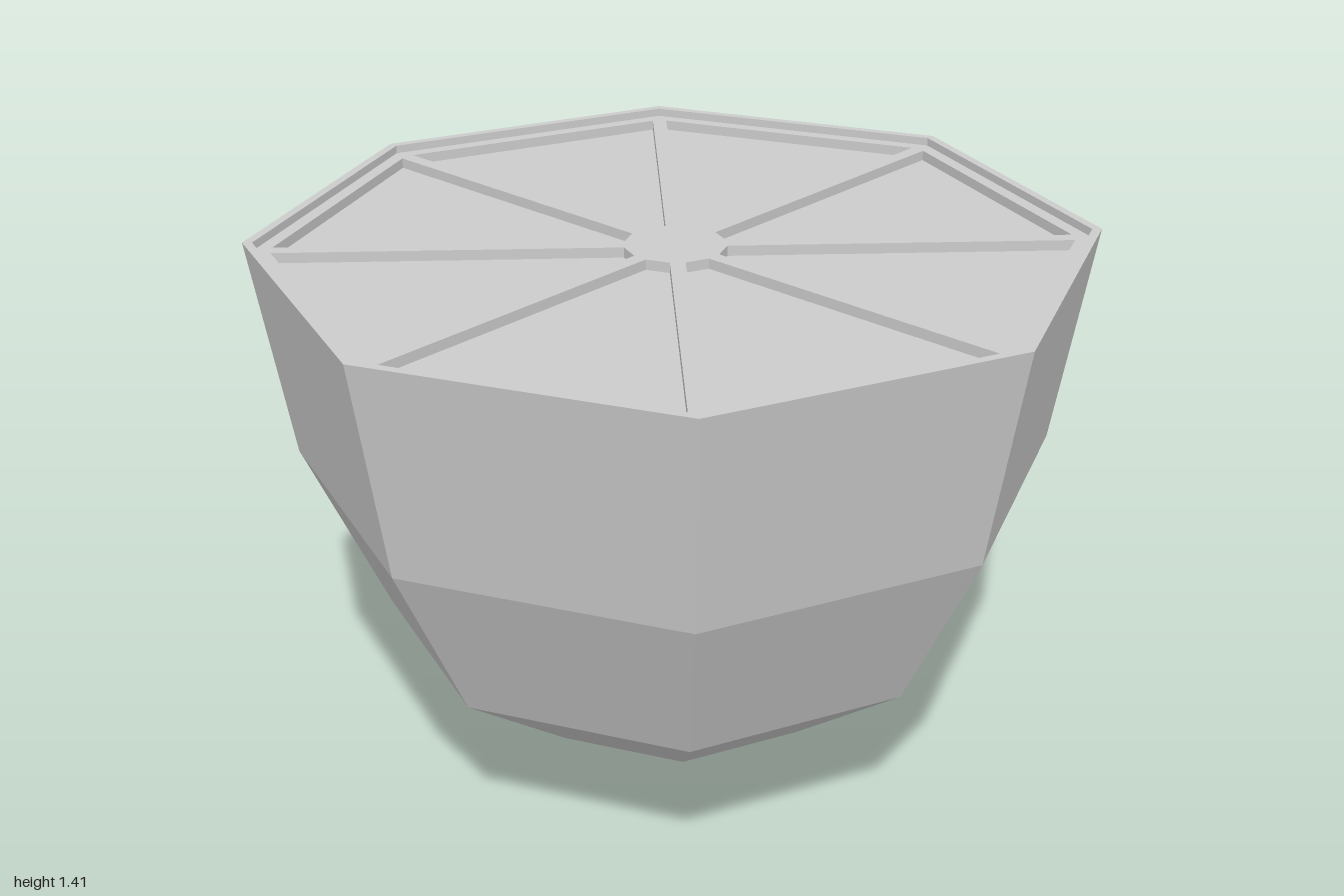
import * as THREE from 'three';

const SIDES = 8;
const STEP = (Math.PI * 2) / SIDES;
const TOP = 1.41; // rim height
const PITH = 1.39; // top of the pith web
const PULP = 1.365; // sunken pulp floor
const RIM_R = 0.977; // inner radius of the rim

const material = new THREE.MeshStandardMaterial({ color: 0xcccccc, flatShading: true });

function addMesh(parent, name, geometry) {
  const faceted = geometry.index ? geometry.toNonIndexed() : geometry;
  faceted.computeVertexNormals();
  const mesh = new THREE.Mesh(faceted, material);
  mesh.name = name;
  parent.add(mesh);
  return mesh;
}

// Outline of one fruit segment: a truncated wedge between two spokes
function wedgePoints(index) {
  const half = STEP / 2;
  const mid = (index + 0.5) * STEP;
  const spokeHalfWidth = 0.018;
  const inner = 0.118, outer = 0.87;
  const lateral = (u) => u * Math.tan(half) - spokeHalfWidth / Math.cos(half);
  return [
    [inner, -lateral(inner)],
    [outer, -lateral(outer)],
    [outer, lateral(outer)],
    [inner, lateral(inner)],
  ].map(([u, v]) => new THREE.Vector2(u, v).rotateAround(new THREE.Vector2(), mid));
}

export function createModel() {
  const fruit = new THREE.Group();
  fruit.name = 'halfCitrusFruit';

  // Peel: eight-sided bowl with a nub at the bottom and a thin rim on top
  const profile = [
    [0, 0], [0.095, 0.025], [0.105, 0.05], [0.2, 0.12], [0.4, 0.215],
    [0.71, 0.45], [0.91, 0.875], [1, TOP], [RIM_R, TOP], [RIM_R, PITH],
  ].map(([r, y]) => new THREE.Vector2(r, y));
  addMesh(fruit, 'peel', new THREE.LatheGeometry(profile, SIDES));

  // Pith: ring, spokes and hub, cut through by the segment openings
  const corners = [];
  for (let i = 0; i < SIDES; i++) {
    corners.push(new THREE.Vector2(RIM_R * Math.cos(i * STEP), RIM_R * Math.sin(i * STEP)));
  }
  const web = new THREE.Shape(corners);
  for (let i = 0; i < SIDES; i++) web.holes.push(new THREE.Path(wedgePoints(i).reverse()));
  const pith = new THREE.ExtrudeGeometry(web, { depth: PITH - PULP, bevelEnabled: false });
  pith.rotateX(-Math.PI / 2).translate(0, PULP, 0);
  addMesh(fruit, 'pith', pith);

  // Pulp: flat floor of each sunken segment
  const pulp = new THREE.Group();
  pulp.name = 'pulp';
  for (let i = 0; i < SIDES; i++) {
    const floor = new THREE.ShapeGeometry(new THREE.Shape(wedgePoints(i)));
    floor.rotateX(-Math.PI / 2).translate(0, PULP, 0);
    addMesh(pulp, `pulpSegment${i + 1}`, floor);
  }
  fruit.add(pulp);

  return fruit;
}
